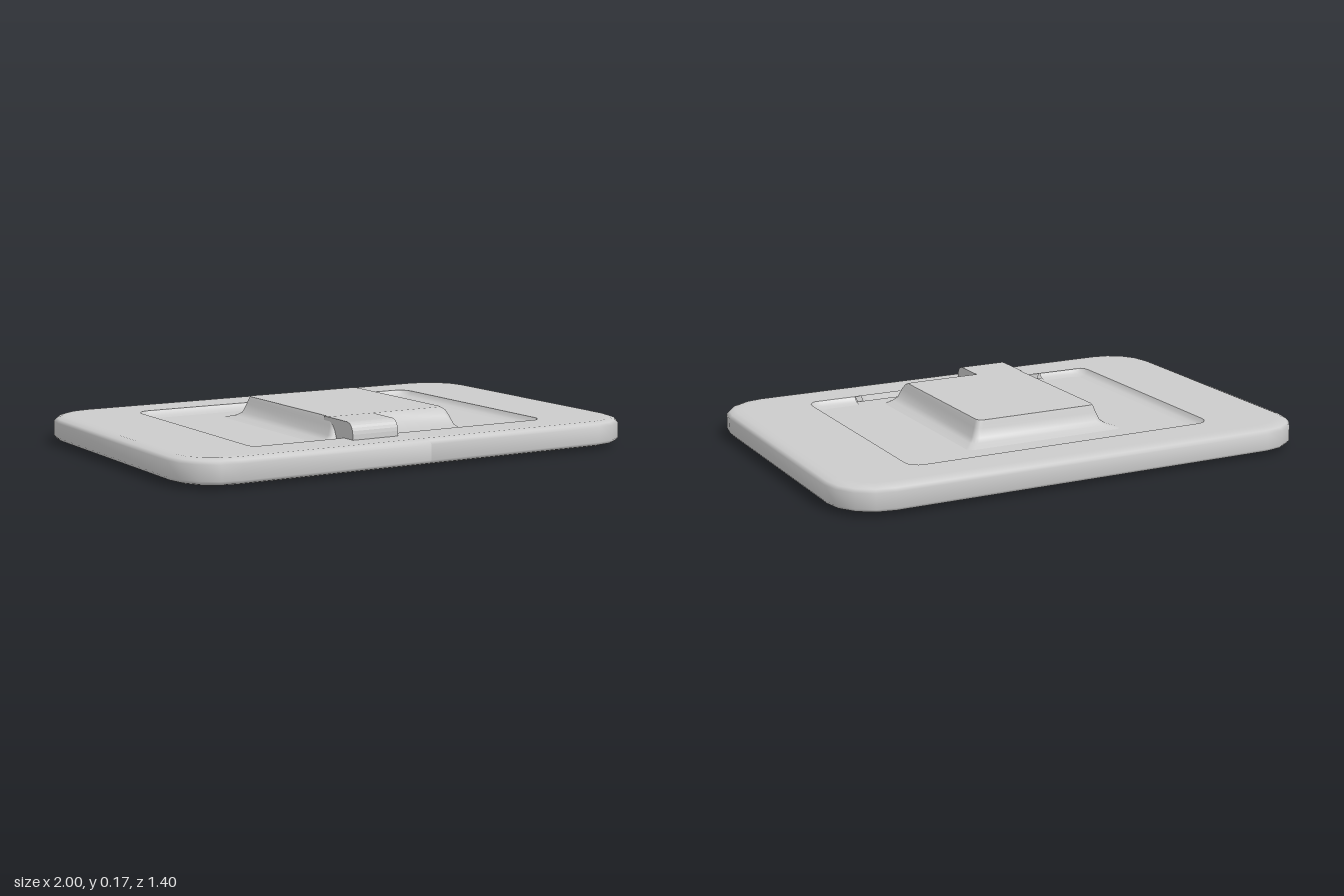
import * as THREE from 'three';

const material = new THREE.MeshStandardMaterial({ color: 0xcccccc, side: THREE.DoubleSide });

// Rounded rectangle of [x, z] points, starting and ending at the front, `gap` either side of the middle
function roundedRect(hx, hz, r, { cx = 0, cz = 0, gap = 0, seg = 4 } = {}) {
  const pts = [[cx + gap, cz + hz]];
  const corners = [[1, 1], [1, -1], [-1, -1], [-1, 1]];
  corners.forEach(([sx, sz], k) => {
    for (let i = 0; i <= seg; i++) {
      const a = Math.PI / 2 * (1 - k - i / seg);
      pts.push([cx + sx * (hx - r) + r * Math.cos(a), cz + sz * (hz - r) + r * Math.sin(a)]);
    }
  });
  pts.push([cx - gap, cz + hz]);
  return pts;
}

// Skin between rings { pts, y } that share a point count
function loft(rings) {
  const n = rings[0].pts.length, pos = [], idx = [];
  for (const { pts, y } of rings) for (const [x, z] of pts) pos.push(x, y, z);
  for (let i = 0; i < rings.length - 1; i++) {
    for (let j = 0; j < n - 1; j++) {
      const a = i * n + j, b = a + 1, c = a + n, d = c + 1;
      idx.push(a, b, c, b, d, c);
    }
  }
  const g = new THREE.BufferGeometry();
  g.setAttribute('position', new THREE.Float32BufferAttribute(pos, 3));
  g.setIndex(idx);
  g.computeVertexNormals();
  return g;
}

const toVectors = (pts) => pts.map(([x, z]) => new THREE.Vector2(x, -z));

// Flat horizontal face at height y, facing up or down
function flat(pts, y, { hole, down = false } = {}) {
  const shape = new THREE.Shape(toVectors(pts));
  if (hole) shape.holes.push(new THREE.Path(toVectors(hole)));
  const g = new THREE.ShapeGeometry(shape);
  if (down) g.scale(1, -1, 1).rotateX(Math.PI / 2);
  else g.rotateX(-Math.PI / 2);
  if (down) {
    // mirrored outline: restore the downward winding
    const index = g.index;
    for (let i = 0; i < index.count; i += 3) {
      const t = index.getX(i);
      index.setX(i, index.getX(i + 2));
      index.setX(i + 2, t);
    }
    g.computeVertexNormals();
  }
  return g.translate(0, y, 0);
}

export function createModel() {
  const model = new THREE.Group();
  const add = (name, geometry) => {
    const mesh = new THREE.Mesh(geometry, material);
    mesh.name = name;
    model.add(mesh);
    return mesh;
  };

  const TOP = 0.11, FLOOR = 0.085, SLOT_FLOOR = 0.05, EDGE_Z = 0.52, SLOT_X = 0.44;

  // Rounded outer casing, from the screen rim round the side to the top
  const outer = (inset) => roundedRect(1 - inset, 0.7 - inset, 0.2 - inset);
  const casing = [
    [0.1, 0.008], [0.06, 0.008], [0.03, 0.011], [0.01, 0.018], [0, 0.03],
    [0, 0.09], [0.012, 0.102], [0.035, TOP], [0.07, TOP],
  ];
  add('casing', loft(casing.map(([inset, y]) => ({ pts: outer(inset), y }))));

  // Finger slot outline in front of the recessed panel
  const half = [[0.44, EDGE_Z], [0.415, 0.535], [0.4, 0.56], [0.39, 0.605], [0.38, 0.63], [0.355, 0.643]];
  const slot = [...half.map(([x, z]) => [-x, z]), ...[...half].reverse()];
  const slotBottom = slot.map(([x, z]) => [x * 0.94, EDGE_Z + (z - EDGE_Z) * 0.86]);

  // Top frame, open over the panel and slot
  const panel = (inset) => roundedRect(0.655 - inset, 0.51 - inset, 0.055 - inset * 0.5, { cz: 0.01, gap: SLOT_X });
  add('topFrame', flat(outer(0.07), TOP, { hole: [...panel(0), ...slot.slice(1, -1)] }));

  // Recessed panel
  add('panelLip', loft([
    { pts: panel(0), y: TOP }, { pts: panel(0.008), y: 0.098 },
    { pts: panel(0.022), y: 0.089 }, { pts: panel(0.05), y: FLOOR },
  ]));
  add('panelFloor', flat(panel(0), FLOOR));

  // Finger slot
  add('slotWall', loft([{ pts: slot, y: TOP }, { pts: slotBottom, y: SLOT_FLOOR }]));
  add('slotFloor', flat(slotBottom, SLOT_FLOOR));
  add('slotStep', new THREE.PlaneGeometry(2 * SLOT_X, FLOOR - SLOT_FLOOR)
    .translate(0, (FLOOR + SLOT_FLOOR) / 2, EDGE_Z));

  // Raised block with sloping sides and a flared foot: half width, back z, front z, height
  const block = [
    [0.34, -0.345, 0.455, FLOOR], [0.305, -0.305, 0.452, 0.096], [0.285, -0.285, 0.448, TOP],
    [0.27, -0.275, 0.437, 0.145], [0.263, -0.27, 0.42, 0.165], [0.258, -0.267, 0.39, 0.175],
  ].map(([hx, back, front, y]) => ({
    pts: roundedRect(hx, (front - back) / 2, 0.025, { cz: (front + back) / 2, seg: 3 }), y,
  }));
  add('blockSides', loft(block));
  add('blockTop', flat(block.at(-1).pts, 0.175));

  // Clip reaching from the block over the panel edge into the slot
  const profile = new THREE.Shape();
  profile.moveTo(0.36, FLOOR);
  profile.lineTo(0.36, 0.1745);
  profile.lineTo(0.525, 0.1745);
  profile.quadraticCurveTo(0.565, 0.1745, 0.57, 0.13);
  profile.lineTo(0.575, SLOT_FLOOR);
  profile.lineTo(EDGE_Z, SLOT_FLOOR);
  profile.lineTo(EDGE_Z, FLOOR);
  const clip = new THREE.ExtrudeGeometry(profile, { depth: 0.2, bevelEnabled: false, curveSegments: 6 });
  add('clip', clip.rotateY(-Math.PI / 2).scale(-1, 1, 1).index
    ? clip : mirrorWinding(clip)).position.x = -0.265;

  // Screen on the underside and two small round sensors
  add('screen', flat(roundedRect(0.9, 0.59, 0.06), 0.006, { down: true }));
  add('screenEdge', loft([0.006, 0.012].map((y) => ({ pts: roundedRect(0.9, 0.59, 0.06), y }))));
  for (const [x, z] of [[0.49, 0.58], [0.87, 0.44]]) {
    add('sensor', new THREE.CylinderGeometry(0.031, 0.031, 0.012, 16)).position.set(x, 0.006, z);
  }
  return model;
}

// Flip the triangles of a mirrored, unindexed geometry
function mirrorWinding(g) {
  const p = g.attributes.position, a = new THREE.Vector3(), b = new THREE.Vector3();
  for (let i = 0; i < p.count; i += 3) {
    a.fromBufferAttribute(p, i);
    b.fromBufferAttribute(p, i + 2);
    p.setXYZ(i, b.x, b.y, b.z);
    p.setXYZ(i + 2, a.x, a.y, a.z);
  }
  g.computeVertexNormals();
  return g;
}
